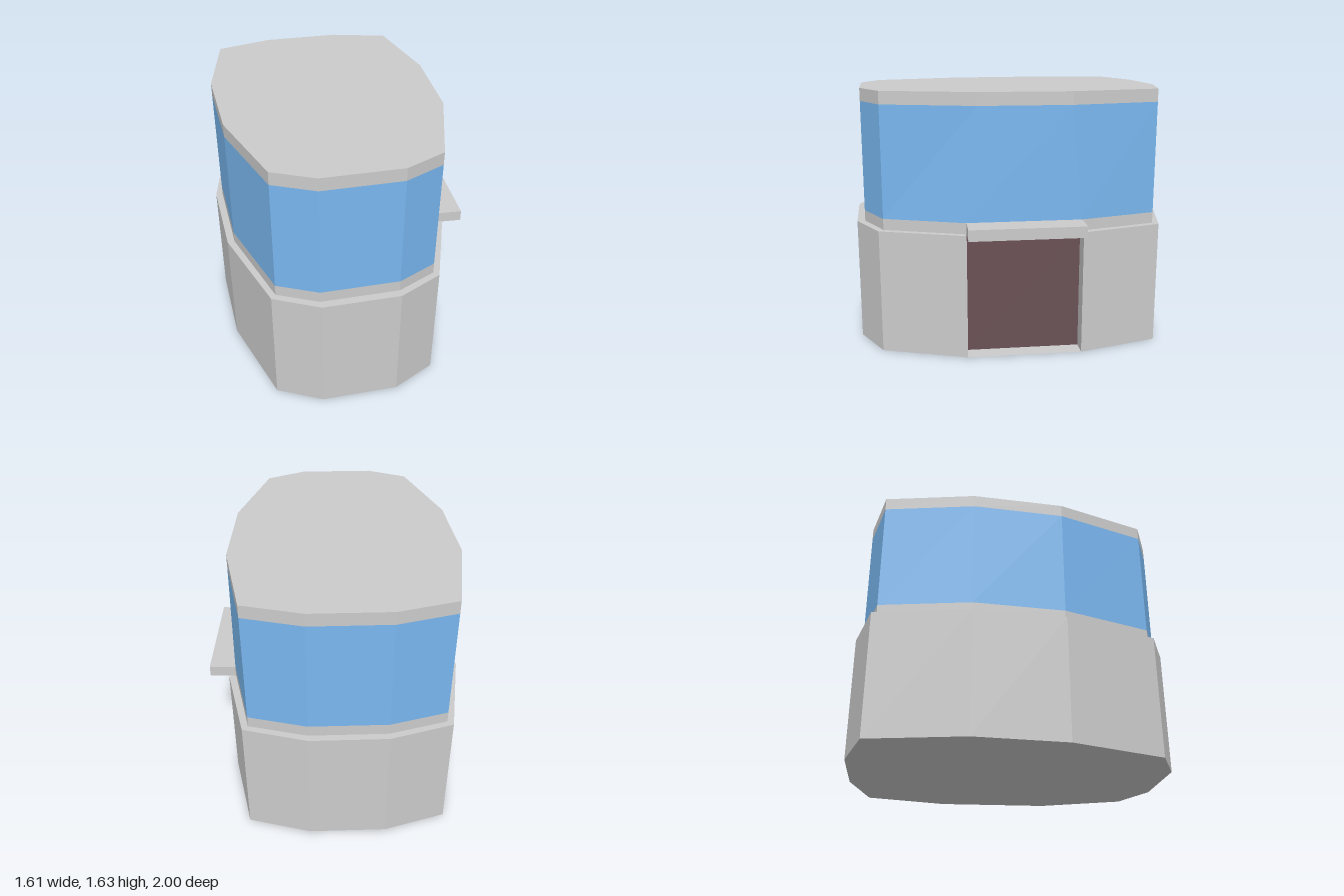
import * as THREE from 'three';

// Footprints as [x, z], running clockwise seen from above
const backBase = [[-0.3, -1], [0.18, -1], [0.57, -0.89]];
const restBase = [[0.455, 0.865], [0.18, 1], [-0.3, 1], [-0.575, 0.865], [-0.775, 0.27], [-0.805, -0.3], [-0.69, -0.89]];
const porchOuter = [[0.685, -0.37], [0.65, 0.345]];
const porchInner = [[0.575, -0.375], [0.54, 0.34]];
const baseOutline = [...backBase, ...porchOuter, ...restBase];
const notchedOutline = [...backBase, porchOuter[0], ...porchInner, porchOuter[1], ...restBase];
const DOOR_EDGE = 4; // edge of the notched outline that holds the door

// Upper storey; its right corners shift from sill to roof
const upper = (z0, z1) => [[-0.3, -0.955], [0.18, -0.955], [0.535, -0.86], [0.64, z0], [0.61, z1],
  [0.425, 0.835], [0.18, 0.95], [-0.3, 0.95], [-0.545, 0.835], [-0.73, 0.27], [-0.76, -0.3], [-0.655, -0.86]];
const sillOutline = upper(-0.365, 0.345);
const roofOutline = upper(-0.3, 0.27);
const awningOutline = [[0.64, -0.37], [0.805, -0.36], [0.775, 0.35], [0.607, 0.34]];

const GREY = 0xcccccc, BLUE = 0x79b7f0, BROWN = 0x6a5155;

// Walls between two rings; keep(i) chooses which edges are built
function walls(low, high, y0, y1, keep = () => true) {
  const out = [];
  low.forEach((p, i) => {
    if (!keep(i)) return;
    const j = (i + 1) % low.length;
    const a = [p[0], y0, p[1]], b = [low[j][0], y0, low[j][1]];
    const A = [high[i][0], y1, high[i][1]], B = [high[j][0], y1, high[j][1]];
    out.push(...a, ...A, ...b, ...b, ...A, ...B);
  });
  return out;
}

// Flat lid over an outline, facing up or down
function lid(ring, y, up) {
  const pts = ring.map(([x, z]) => new THREE.Vector2(x, z));
  return THREE.ShapeUtils.triangulateShape(pts, []).flatMap((t) => {
    const facesDown = THREE.ShapeUtils.area(t.map((i) => pts[i])) > 0;
    const order = facesDown === up ? [t[0], t[2], t[1]] : t;
    return order.flatMap((i) => [ring[i][0], y, ring[i][1]]);
  });
}

const prism = (ring, y0, y1) => [...walls(ring, ring, y0, y1), ...lid(ring, y0, false), ...lid(ring, y1, true)];

function part(name, positions, color = GREY, side = THREE.FrontSide) {
  const g = new THREE.BufferGeometry();
  g.setAttribute('position', new THREE.Float32BufferAttribute(positions, 3));
  g.computeVertexNormals();
  const mesh = new THREE.Mesh(g, new THREE.MeshStandardMaterial({ color, side, flatShading: true }));
  mesh.name = name;
  return mesh;
}

export function createModel() {
  const model = new THREE.Group();
  model.name = 'building';
  const FLOOR = 0.785, SILL = 0.855, HEAD = 1.555, TOP = 1.635;

  model.add(
    // Ground storey with a recessed porch on the right side
    part('groundFloorSlab', lid(baseOutline, 0, false), GREY, THREE.DoubleSide),
    part('groundStorey', [
      ...walls(notchedOutline, notchedOutline, 0, FLOOR, (i) => i !== DOOR_EDGE),
      ...lid(notchedOutline, FLOOR, true),
    ]),
    part('door', walls(notchedOutline, notchedOutline, 0, FLOOR, (i) => i === DOOR_EDGE), BROWN),
    // Canopy above the door
    part('doorCanopy', prism(awningOutline, FLOOR, SILL)),
    // Upper storey: sill, continuous window band, roof
    part('windowSill', prism(sillOutline, FLOOR, SILL)),
    part('windowBand', walls(sillOutline, roofOutline, SILL, HEAD), BLUE),
    part('roof', prism(roofOutline, HEAD, TOP)),
  );
  return model;
}
